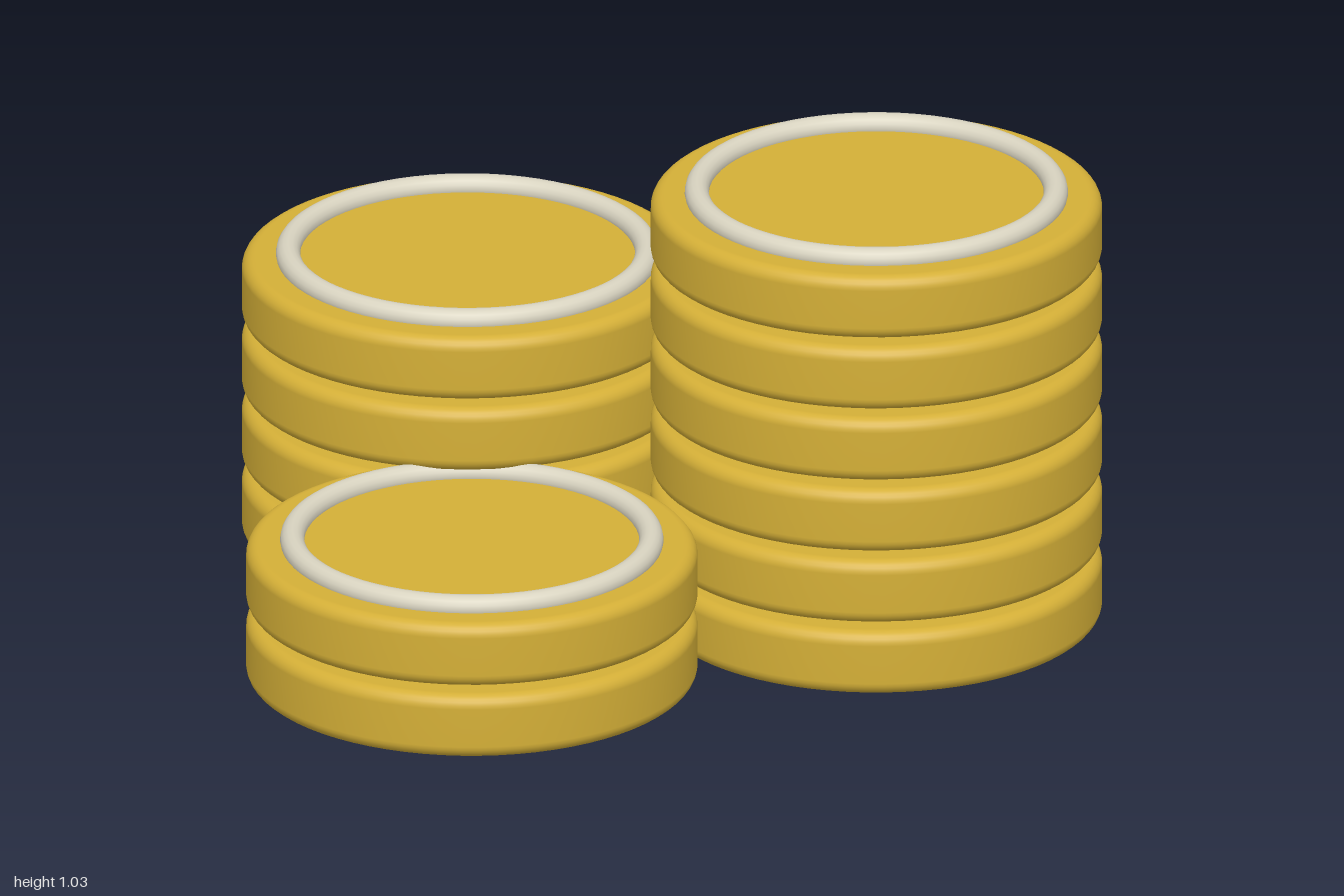
import * as THREE from 'three';

const RADIUS = 0.498, HEIGHT = 0.149, BEVEL = 0.03, PITCH = 0.169;

// Rounded disc profile, revolved around y
function discGeometry() {
  const pts = [new THREE.Vector2(0, 0)];
  const arc = (cy, from) => {
    for (let i = 0; i <= 6; i++) {
      const a = from + (i / 6) * Math.PI / 2;
      pts.push(new THREE.Vector2(RADIUS - BEVEL + BEVEL * Math.cos(a), cy + BEVEL * Math.sin(a)));
    }
  };
  arc(BEVEL, -Math.PI / 2);
  arc(HEIGHT - BEVEL, 0);
  pts.push(new THREE.Vector2(0, HEIGHT));
  return new THREE.LatheGeometry(pts, 72);
}

export function createModel() {
  const model = new THREE.Group();
  model.name = 'coinStacks';

  const gold = new THREE.MeshStandardMaterial({ color: 0xd4af37 });
  gold.name = 'gold';
  const silver = new THREE.MeshStandardMaterial({ color: 0xd8d3c0 });
  silver.name = 'paleSilver';

  const disc = discGeometry();
  const ring = new THREE.TorusGeometry(0.396, 0.027, 16, 72).rotateX(-Math.PI / 2);

  // One coin: gold disc with a raised silver ring on top
  function coin() {
    const g = new THREE.Group();
    g.name = 'coin';
    const body = new THREE.Mesh(disc, gold);
    body.name = 'coinBody';
    const rim = new THREE.Mesh(ring, silver);
    rim.name = 'coinRing';
    rim.position.y = HEIGHT + 0.006;
    g.add(body, rim);
    return g;
  }

  // Three stacks of different heights
  const stacks = [
    { name: 'rightStack', x: -0.502, z: -0.244, count: 4 },
    { name: 'leftStack', x: 0.502, z: -0.422, count: 6 },
    { name: 'frontStack', x: 0.027, z: 0.42, count: 2 },
  ];
  for (const s of stacks) {
    const stack = new THREE.Group();
    stack.name = s.name;
    stack.position.set(s.x, 0, s.z);
    for (let i = 0; i < s.count; i++) {
      const c = coin();
      c.position.y = i * PITCH;
      stack.add(c);
    }
    model.add(stack);
  }
  return model;
}
